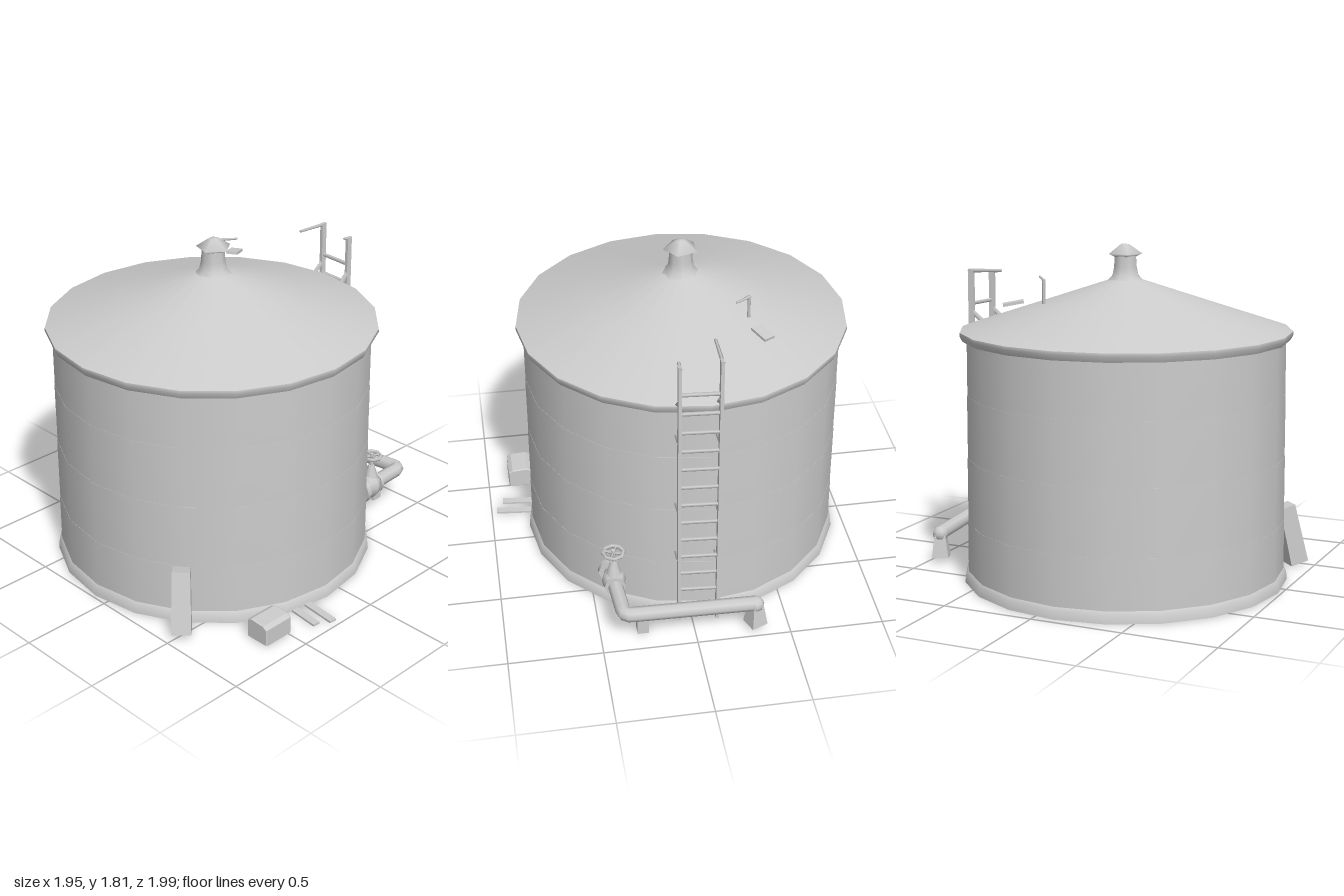
import * as THREE from 'three';

const steel = new THREE.MeshStandardMaterial({ color: 0xcccccc, side: THREE.DoubleSide });
steel.name = 'galvanised steel';
const CX = -0.088, CZ = 0.106, SIDES = 20;
const V = (x, y, z) => new THREE.Vector3(x, y, z);

function add(parent, name, geometry, x = 0, y = 0, z = 0) {
  const mesh = new THREE.Mesh(geometry, steel);
  mesh.name = name;
  mesh.position.set(x, y, z);
  parent.add(mesh);
  return mesh;
}

// Surface of revolution from [radius, height] pairs
function lathe(parent, name, profile, sides = SIDES, x = CX, z = CZ, phase = 0) {
  const pts = profile.map(([r, y]) => new THREE.Vector2(r, y));
  return add(parent, name, new THREE.LatheGeometry(pts, sides, phase), x, 0, z);
}

// Straight bar between two points
function bar(parent, name, a, b, r0, r1 = r0, sides = 8) {
  const d = b.clone().sub(a);
  const mid = a.clone().add(b).multiplyScalar(0.5);
  const mesh = add(parent, name, new THREE.CylinderGeometry(r1, r0, d.length(), sides), mid.x, mid.y, mid.z);
  mesh.quaternion.setFromUnitVectors(V(0, 1, 0), d.normalize());
  return mesh;
}

// Flat-faced version of a bar's geometry
function facet(mesh) {
  mesh.geometry = mesh.geometry.toNonIndexed();
  mesh.geometry.computeVertexNormals();
}

// Open-bottomed shell
function buildTank(g) {
  lathe(g, 'baseRing', [[0.88, 0], [0.875, 0.045], [0.855, 0.065]]);
  // Wall courses, each lapping slightly over the one above
  const levels = [0.06, 0.33, 0.68, 1.015, 1.32];
  for (let i = 0; i < 4; i++) {
    const r = 0.86 - i * 0.003;
    lathe(g, 'wallCourse', [[r, levels[i]], [r - 0.001, levels[i + 1]], [r - 0.003, levels[i + 1]]]);
  }
  lathe(g, 'eaveUnderside', [[0.84, 1.305], [0.872, 1.305]]);
  lathe(g, 'eaveRim', [[0.872, 1.305], [0.888, 1.335], [0.886, 1.352]]);
  lathe(g, 'roof', [[0.886, 1.352], [0.5, 1.478], [0.085, 1.615]]);
  // Vent on the peak
  lathe(g, 'ventNeck', [[0.1, 1.608], [0.074, 1.635], [0.064, 1.68], [0.06, 1.74]], 8, -0.083, 0.1);
  lathe(g, 'ventCap', [[0, 1.735], [0.06, 1.735], [0.095, 1.752], [0.025, 1.8], [0, 1.803]], 5, -0.083, 0.095, Math.PI / 2);
}

function buildRoofFittings(g) {
  // Bent overflow pipe and tilted hatch
  bar(g, 'roofPipe', V(-0.385, 1.5, -0.23), V(-0.385, 1.625, -0.23), 0.009, 0.009, 5);
  bar(g, 'roofPipeArm', V(-0.39, 1.62, -0.225), V(-0.305, 1.632, -0.295), 0.009, 0.006, 5);
  const hatch = add(g, 'roofHatch', new THREE.BoxGeometry(0.065, 0.015, 0.11), -0.425, 1.5, -0.39);
  hatch.rotation.set(-0.2, 0.5, 0.1);
}

function buildLadder(g) {
  const ladder = new THREE.Group();
  ladder.name = 'ladder';
  g.add(ladder);
  const posts = [{ x: -0.135, top: 1.635, z: -0.815, hook: -0.62 }, { x: 0.07, top: 1.61, z: -0.8, hook: -0.755 }];
  for (const p of posts) {
    const box = add(ladder, 'ladderPost', new THREE.BoxGeometry(0.018, p.top, 0.032), p.x, p.top / 2, p.z);
    box.rotation.x = 0.006;
    bar(ladder, 'ladderHook', V(p.x, p.top - 0.008, p.z - 0.012), V(p.x, p.top, p.hook), 0.011, 0.008, 4);
    // Wall brackets
    for (const y of [0.4, 0.72, 1.15]) {
      bar(ladder, 'ladderBracket', V(p.x, y, -0.72), V(p.x, y + 0.005, p.z), 0.013, 0.013, 4);
    }
    bar(ladder, 'ladderTopBracket', V(p.x, 1.34, -0.73), V(p.x, 1.41, p.z), 0.016, 0.012, 4);
  }
  for (let i = 0; i < 13; i++) {
    const y = 0.09 + i * 0.113;
    bar(ladder, 'ladderRung', V(-0.135, y, -0.815), V(0.07, y, -0.8), 0.011, 0.011, 5);
  }
}

function buildOutlet(g) {
  const outlet = new THREE.Group();
  outlet.name = 'outletPipework';
  g.add(outlet);
  // Valve body, flanges, bonnet and handwheel
  bar(outlet, 'inletStub', V(0.4, 0.21, -0.57), V(0.4, 0.21, -0.72), 0.045);
  bar(outlet, 'tankFlange', V(0.4, 0.21, -0.58), V(0.4, 0.21, -0.61), 0.075);
  const body = add(outlet, 'valveBody', new THREE.SphereGeometry(0.065, 8, 6), 0.4, 0.21, -0.675);
  body.scale.y = 1.15;
  bar(outlet, 'valveFlange', V(0.4, 0.21, -0.72), V(0.4, 0.21, -0.735), 0.058);
  bar(outlet, 'valveBonnet', V(0.4, 0.25, -0.68), V(0.4, 0.34, -0.68), 0.045, 0.018);
  bar(outlet, 'valveStem', V(0.4, 0.33, -0.68), V(0.4, 0.415, -0.68), 0.012, 0.012, 6);
  const wheel = add(outlet, 'handwheel', new THREE.TorusGeometry(0.055, 0.011, 5, 8), 0.4, 0.4, -0.68);
  wheel.rotation.x = Math.PI / 2;
  for (const s of [0, 1]) {
    const a = s * Math.PI / 2 + 0.4, dx = Math.cos(a) * 0.055, dz = Math.sin(a) * 0.055;
    bar(outlet, 'wheelSpoke', V(0.4 - dx, 0.4, -0.68 - dz), V(0.4 + dx, 0.4, -0.68 + dz), 0.008, 0.008, 4);
  }
  // Run of pipe turning along the back
  const path = new THREE.CurvePath();
  path.add(new THREE.LineCurve3(V(0.4, 0.21, -0.71), V(0.385, 0.205, -0.915)));
  path.add(new THREE.QuadraticBezierCurve3(V(0.385, 0.205, -0.915), V(0.385, 0.205, -0.955), V(0.34, 0.203, -0.955)));
  path.add(new THREE.LineCurve3(V(0.34, 0.203, -0.955), V(-0.32, 0.165, -0.93)));
  add(outlet, 'outletPipe', new THREE.TubeGeometry(path, 40, 0.04, 8, false));
  // Downturned square nozzle
  add(outlet, 'nozzleElbow', new THREE.SphereGeometry(0.044, 8, 6), -0.32, 0.16, -0.93);
  const nozzle = bar(outlet, 'nozzle', V(-0.32, 0.16, -0.93), V(-0.322, 0.03, -0.927), 0.042, 0.066, 4);
  nozzle.geometry.rotateY(Math.PI / 4);
  facet(nozzle);
  add(outlet, 'pipeSupport', new THREE.BoxGeometry(0.06, 0.13, 0.06), 0.275, 0.065, -0.86);
}

function buildGroundItems(g) {
  // Slanted stump leaning in toward the wall
  facet(bar(g, 'leaningPost', V(0.49, 0.01, 0.892), V(0.435, 0.338, 0.835), 0.074, 0.066, 4));
  // Rounded block
  const s = new THREE.Shape([[-0.062, 0], [0.065, 0], [0.065, 0.09], [0.045, 0.105], [-0.04, 0.11], [-0.062, 0.098]].map(p => new THREE.Vector2(...p)));
  add(g, 'groundBlock', new THREE.ExtrudeGeometry(s, { depth: 0.165, bevelSize: 0.004, bevelThickness: 0.008, bevelSegments: 1 }), 0.81, 0.004, 0.492);
  // Two flat skids
  for (const [x, z, len] of [[0.865, 0.25, 0.21], [0.845, 0.335, 0.17]]) {
    add(g, 'flatSkid', new THREE.BoxGeometry(len, 0.012, 0.042), x, 0.006, z).rotation.y = -0.1;
  }
}

export function createModel() {
  const g = new THREE.Group();
  g.name = 'storageTank';
  buildTank(g);
  buildRoofFittings(g);
  buildLadder(g);
  buildOutlet(g);
  buildGroundItems(g);
  return g;
}
